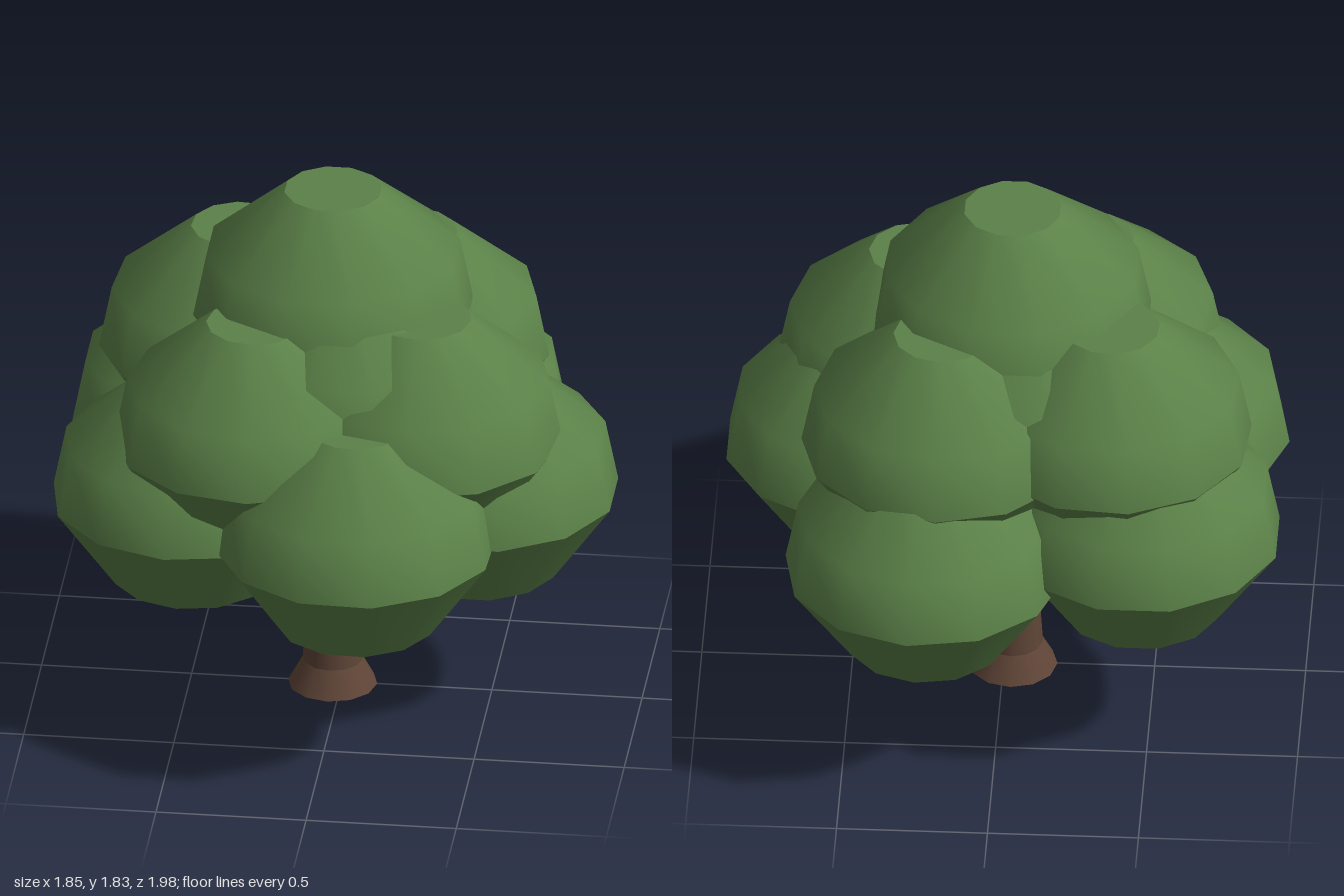
import * as THREE from 'three';
import { mergeGeometries } from 'three/addons/utils/BufferGeometryUtils.js';

const SIDES = 12;

// Turned shape whose listed bands meet in sharp edges
function turned(bands) {
  return mergeGeometries(bands.map(band =>
    new THREE.LatheGeometry(band.map(([r, y]) => new THREE.Vector2(r, y)), SIDES)));
}

export function createModel() {
  const tree = new THREE.Group();
  tree.name = 'tree';
  const leaf = new THREE.MeshStandardMaterial({ color: 0x5b8148 });
  leaf.name = 'leaf green';
  const bark = new THREE.MeshStandardMaterial({ color: 0x5f4537 });
  bark.name = 'bark brown';

  // Trunk with a flared foot
  const trunk = new THREE.Mesh(turned([
    [[0, 0], [0.148, 0]],
    [[0.148, 0], [0.1, 0.09]],
    [[0.1, 0.09], [0.075, 0.485]],
    [[0.075, 0.485], [0, 0.485]],
  ]), bark);
  trunk.name = 'trunk';
  trunk.position.set(-0.03, 0, 0);
  tree.add(trunk);

  // Branches fanning out from the trunk top into the crown
  const branches = new THREE.Group();
  branches.name = 'branches';
  const fork = new THREE.Vector3(-0.03, 0.46, 0);
  const up = new THREE.Vector3(0, 1, 0);
  for (const [x, y, z] of [
    [-0.25, 0.95, 0.3], [0.28, 0.95, 0.22], [0.18, 0.95, -0.3], [-0.35, 0.95, -0.26], [-0.03, 1.2, 0],
  ]) {
    const dir = new THREE.Vector3(x, y, z).sub(fork);
    const length = dir.length();
    const branch = new THREE.Mesh(new THREE.CylinderGeometry(0.04, 0.06, length, 8), bark);
    branch.name = 'branch';
    branch.position.copy(fork).addScaledVector(dir, 0.5);
    branch.quaternion.setFromUnitVectors(up, dir.normalize());
    branches.add(branch);
  }
  tree.add(branches);

  // One leaf clump: flat base, flared underside, domed top with a flat cap
  const clumpGeometry = turned([
    [[0, -0.285], [0.267, -0.285]],
    [[0.267, -0.285], [0.468, 0]],
    [[0.468, 0], [0.425, 0.215], [0.163, 0.435]],
    [[0.163, 0.435], [0, 0.435]],
  ]);

  // Clumps: name, x, height of widest ring, z, turn in degrees
  const clumps = [
    ['lowerFrontClump', 0.11, 0.795, 0.53, 13],
    ['lowerRightClump', -0.47, 0.785, 0.235, 25],
    ['lowerLeftClump', 0.465, 0.8, 0.09, 15],
    ['lowerBackClump', 0.23, 0.74, -0.53, 25],
    ['lowerBackRightClump', -0.475, 0.79, -0.37, 15],
    ['middleFrontRightClump', -0.25, 1.055, 0.32, 3],
    ['middleFrontLeftClump', 0.295, 1.055, 0.22, 0],
    ['middleBackLeftClump', 0.185, 1.095, -0.32, 0],
    ['middleBackRightClump', -0.37, 1.11, -0.265, 10],
    ['innerFrontClump', 0.055, 1.15, 0.14, 15],
    ['innerBackClump', -0.09, 1.15, -0.15, 15],
    ['topClump', -0.03, 1.395, -0.01, 15],
  ];
  const crown = new THREE.Group();
  crown.name = 'crown';
  for (const [name, x, y, z, turn] of clumps) {
    const clump = new THREE.Mesh(clumpGeometry, leaf);
    clump.name = name;
    clump.position.set(x, y, z);
    clump.rotation.y = THREE.MathUtils.degToRad(turn);
    crown.add(clump);
  }
  tree.add(crown);
  return tree;
}
